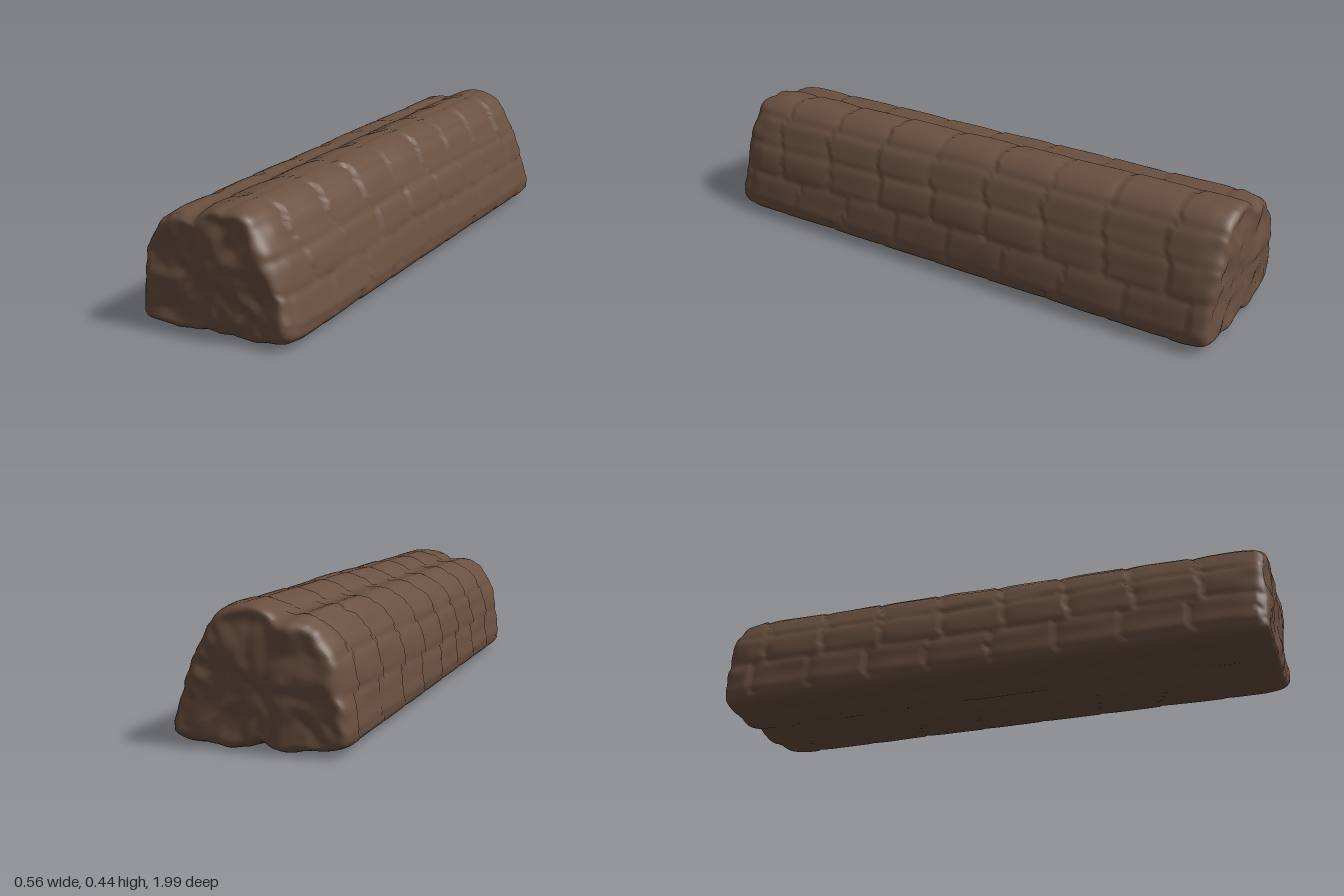
import * as THREE from 'three';
import { mergeVertices } from 'three/addons/utils/BufferGeometryUtils.js';

const AROUND = 144, LENGTH = 150, CAP = 18, LANES = 14, CENTRE_Y = 0.2;

// Cross-section at the taller back end: up the -x side, over the hump, down the +x side, along the base
const OUTLINE = [
  [-0.283, 0.05], [-0.279, 0.11], [-0.27, 0.2], [-0.252, 0.28], [-0.223, 0.34], [-0.18, 0.392],
  [-0.13, 0.412], [-0.08, 0.41], [-0.03, 0.433], [0.05, 0.45], [0.12, 0.428], [0.17, 0.38],
  [0.203, 0.32], [0.232, 0.26], [0.257, 0.18], [0.278, 0.1], [0.285, 0.05], [0.26, 0.018],
  [0.14, 0.001], [0.03, 0.004], [-0.01, 0.016], [-0.06, 0.004], [-0.1, 0.001], [-0.18, 0.012], [-0.262, 0.025],
];

const hash = (a, b) => {
  const s = Math.sin(a * 127.1 + b * 311.7) * 43758.5453;
  return s - Math.floor(s);
};
const smooth = (t) => t * t * (3 - 2 * t);

// Smooth value noise
function noise(x, y) {
  const i = Math.floor(x), j = Math.floor(y), u = smooth(x - i), v = smooth(y - j);
  return THREE.MathUtils.lerp(
    THREE.MathUtils.lerp(hash(i, j), hash(i + 1, j), u),
    THREE.MathUtils.lerp(hash(i, j + 1), hash(i + 1, j + 1), u), v);
}

// Inward depth of the bark: long ridges broken into overlapping plates
function barkDepth(t, z, x, y) {
  const lane = t * LANES + 0.35 * (noise(z * 2.5 + 9, 3) - 0.5);
  const k = ((Math.floor(lane) % LANES) + LANES) % LANES;
  const f = lane - Math.floor(lane);
  const groove = Math.pow(Math.abs(2 * f - 1), 4) * 0.007;
  const along = (z + 1) / 0.23 + hash(k, 5) * 0.5 + 0.25 * noise(x * 12, y * 12);
  const g = along - Math.floor(along);
  const lip = Math.pow(1 - g, 8) * 0.007;
  const plate = hash(k, Math.floor(along)) * 0.004 * Math.sin(Math.PI * f);
  return groove + lip + plate + 0.005 * noise(x * 22 + y * 17, z * 7);
}

function logGeometry() {
  const curve = new THREE.CatmullRomCurve3(
    OUTLINE.map(([x, y]) => new THREE.Vector3(x, y, 0)), true);
  const ring = curve.getSpacedPoints(AROUND);

  // Rows run front pole -> rounded rim -> body -> rim -> back pole: [z, scale, cap blend]
  const rows = [];
  const capRow = (sign, k) => {
    const r = Math.sin((k / CAP) * Math.PI / 2);
    const edge = Math.max(0, (r - 0.86) / 0.14);
    return [sign * (0.992 - 0.045 * (1 - Math.sqrt(1 - edge * edge))), r, 1 - smooth(edge)];
  };
  for (let k = 0; k < CAP; k++) rows.push(capRow(1, k));
  for (let k = 0; k <= LENGTH; k++) rows.push([0.947 * (1 - 2 * k / LENGTH), 1, 0]);
  for (let k = CAP - 1; k >= 0; k--) rows.push(capRow(-1, k));

  const position = [], index = [];
  rows.forEach(([z, scale, cap], i) => {
    const front = (z + 1) / 2;
    for (let j = 0; j < AROUND; j++) {
      const p = ring[j];
      // Front end is slightly lower and narrower on the +x side
      let x = p.x * (p.x > 0 ? 1 - 0.05 * front : 1);
      let y = p.y * (1 - 0.06 * front);
      const dx = x, dy = y - CENTRE_Y, len = Math.hypot(dx, dy);
      const depth = barkDepth(j / AROUND, z, x, y);
      // End rims are scalloped where the ridges run out
      const scallop = Math.max(0, Math.abs(z) - 0.9) * 0.22 * noise(x * 20 + 40 * Math.sign(z), y * 20);
      const s = scale * (1 - (depth * (p.y < 0.04 ? 0.5 : 1) + scallop) / len);
      x = dx * s;
      y = CENTRE_Y + dy * s;
      // Lumpy cut faces
      const seed = z > 0 ? 10 : 50;
      const lump = noise(x * 13 + seed, y * 13 + seed) * 0.7 + noise(x * 28 + seed, y * 28) * 0.3;
      position.push(x, y, z + Math.sign(z) * cap * (0.008 - 0.034 * lump));
      if (i < rows.length - 1) {
        const n = (j + 1) % AROUND;
        const a = i * AROUND + j, b = i * AROUND + n, c = a + AROUND, d = b + AROUND;
        if (i > 0) index.push(a, b, d);
        if (i < rows.length - 2) index.push(a, d, c);
        else index.push();
      }
    }
  });
  const geometry = new THREE.BufferGeometry();
  geometry.setAttribute('position', new THREE.Float32BufferAttribute(position, 3));
  geometry.setIndex(index);
  const merged = mergeVertices(geometry, 1e-5);
  merged.computeVertexNormals();
  return merged;
}

export function createModel() {
  const bark = new THREE.MeshStandardMaterial({ color: 0x6a5040 });
  bark.name = 'brown bark';
  const log = new THREE.Mesh(logGeometry(), bark);
  log.name = 'log';
  const model = new THREE.Group();
  model.name = 'splitLog';
  model.add(log);
  return model;
}
